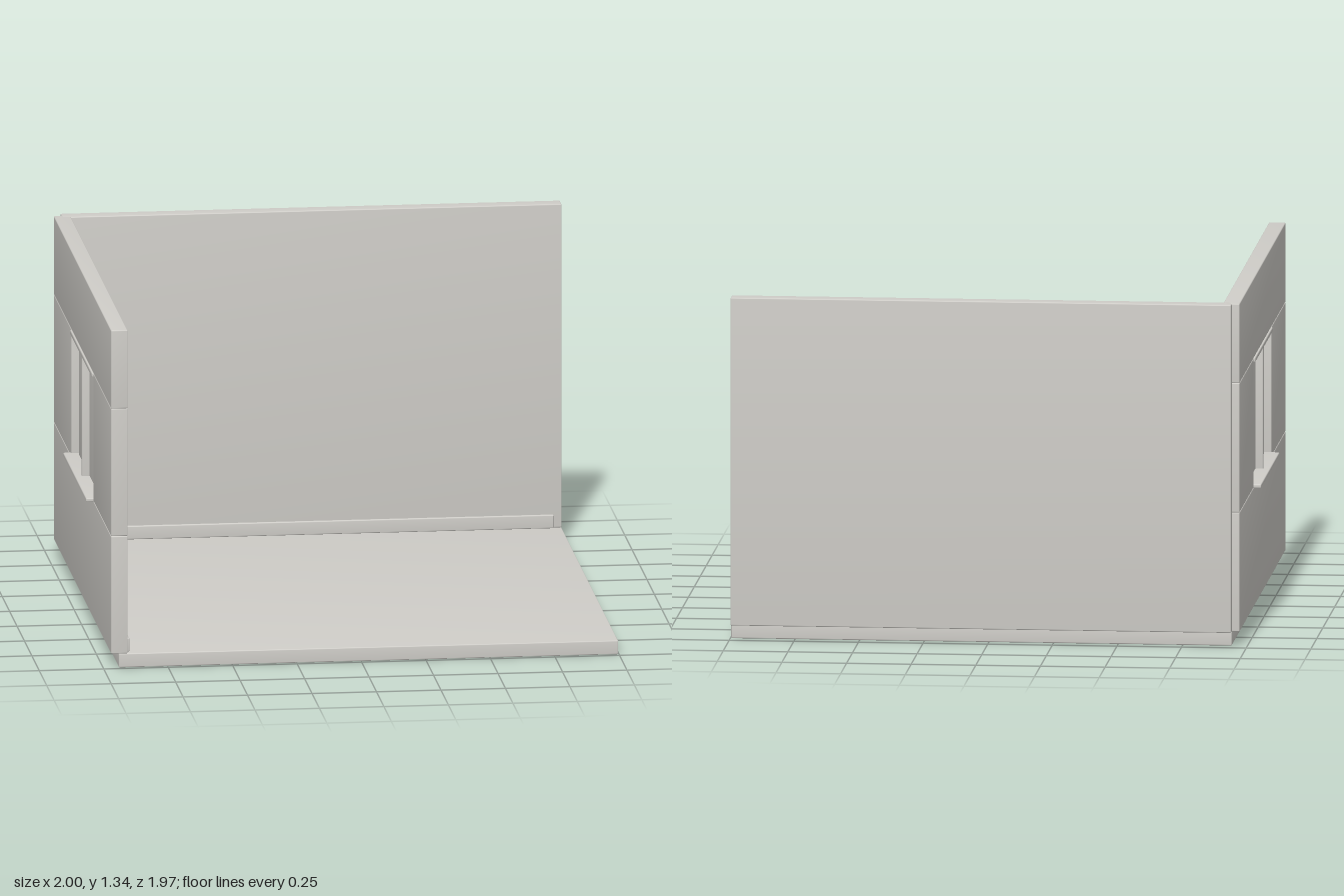
import * as THREE from 'three';
import { RoundedBoxGeometry } from 'three/addons/geometries/RoundedBoxGeometry.js';

const plaster = new THREE.MeshStandardMaterial({ color: 0xcfcdc8 });
plaster.name = 'warmGrey';

// Softly bevelled box given by its min and max corners
function block(parent, name, min, max, bevel = 0.004) {
  const size = max.map((v, i) => v - min[i]);
  const geometry = new RoundedBoxGeometry(...size, 1, Math.min(bevel, Math.min(...size) * 0.35));

  // Lean the normals slightly outwards for gentle shading across each face
  const pos = geometry.attributes.position;
  const nor = geometry.attributes.normal;
  const n = new THREE.Vector3();
  for (let i = 0; i < pos.count; i++) {
    n.fromBufferAttribute(nor, i);
    n.x += 0.07 * Math.sign(pos.getX(i));
    n.y += 0.07 * Math.sign(pos.getY(i));
    n.z += 0.07 * Math.sign(pos.getZ(i));
    n.normalize();
    nor.setXYZ(i, n.x, n.y, n.z);
  }

  const mesh = new THREE.Mesh(geometry, plaster);
  mesh.name = name;
  mesh.position.set(...min.map((v, i) => (v + max[i]) / 2));
  parent.add(mesh);
  return mesh;
}

export function createModel() {
  const model = new THREE.Group();
  model.name = 'roomCorner';

  const floorTop = 0.055, wallTop = 1.335;
  const outer = -0.97, inner = -0.905;     // side wall thickness in x
  const back = -0.95, front = 0.985;       // side wall extent in z
  const sillY = 0.52, headY = 1.025;       // window opening heights
  const openBack = -0.358, openFront = 0.395;

  // Floor slab and back wall
  block(model, 'floor', [-0.94, 0, back], [0.997, floorTop, front]);
  block(model, 'backWall', [-0.94, floorTop, -0.985], [0.997, wallTop, -0.922]);

  // Side wall, in four pieces around the window opening
  const sideWall = new THREE.Group();
  sideWall.name = 'sideWall';
  model.add(sideWall);
  block(sideWall, 'lowerWall', [outer, floorTop, back], [inner, sillY, front]);
  block(sideWall, 'upperWall', [outer, headY, back], [inner, wallTop, front]);
  block(sideWall, 'wallBehindWindow', [outer, sillY, back], [inner, headY, openBack]);
  block(sideWall, 'wallBeforeWindow', [outer, sillY, openFront], [inner, headY, front]);

  // Window: pane set midway in the wall, with mullion, head and sill
  const windowUnit = new THREE.Group();
  windowUnit.name = 'window';
  model.add(windowUnit);
  block(windowUnit, 'pane', [-0.943, 0.53, -0.335], [-0.932, 1.012, 0.37]);
  block(windowUnit, 'mullion', [-0.973, 0.53, 0.008], [-0.902, 1.012, 0.028]);
  block(windowUnit, 'head', [-0.976, 1.008, -0.347], [-0.899, 1.026, 0.382]);
  block(windowUnit, 'sill', [-1, 0.52, -0.37], [-0.88, 0.535, 0.4]);

  // Skirting boards along both walls
  block(model, 'backSkirting', [-0.905, floorTop, -0.924], [0.965, 0.108, -0.91]);
  block(model, 'sideSkirting', [-0.907, floorTop, -0.922], [-0.895, 0.108, 0.955]);

  return model;
}
